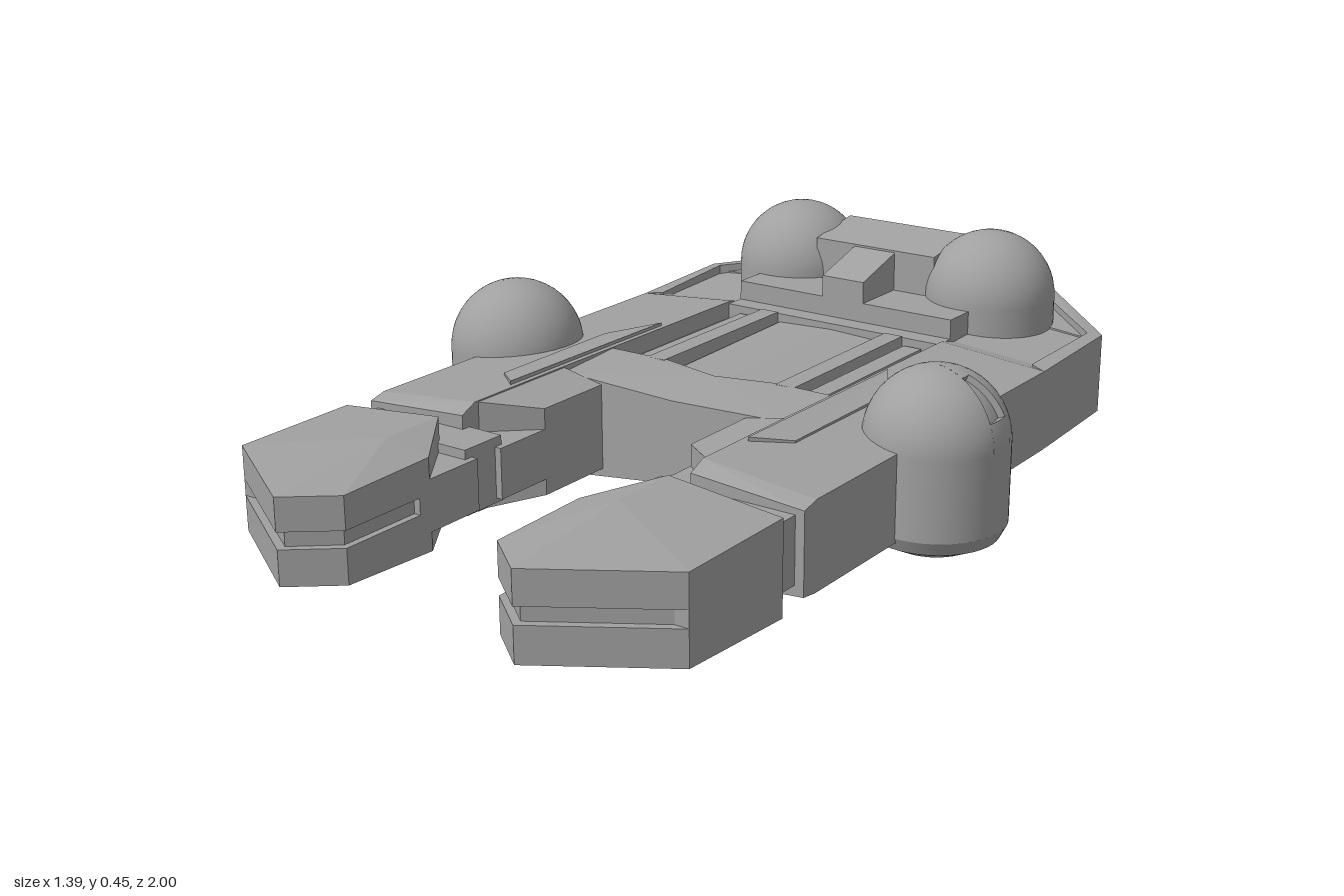
import * as THREE from 'three';

const hullGrey = new THREE.MeshStandardMaterial({ color: 0xa0a0a0, side: THREE.DoubleSide });
hullGrey.name = 'hullGrey';

// Convex flat-shaded slab. Corners are [x, z, bottomY, topY]; faces fan from the first corner.
// pocket > 0 bevels the underside inwards by that depth.
function slabGeometry(corners, pocket = 0) {
  let area = 0;
  const n = corners.length;
  corners.forEach(([x, z], i) => {
    const b = corners[(i + 1) % n];
    area += z * b[0] - x * b[1];
  });
  const c = area > 0 ? corners : [corners[0], ...corners.slice(1).reverse()];
  const low = c.map(p => [p[0], p[2], p[1]]);
  const high = c.map(p => [p[0], p[3], p[1]]);
  const mx = c.reduce((s, p) => s + p[0], 0) / n;
  const mz = c.reduce((s, p) => s + p[1], 0) / n;
  const inner = low.map(([x, y, z]) => pocket
    ? [mx + (x - mx) * 0.78, y + pocket, mz + (z - mz) * 0.85] : [x, y, z]);
  const pos = [];
  const tri = (...ps) => ps.forEach(p => pos.push(...p));
  for (let i = 0; i < n; i++) {
    const j = (i + 1) % n;
    tri(low[i], low[j], high[j]);
    tri(low[i], high[j], high[i]);
    if (pocket) {
      tri(low[j], low[i], inner[i]);
      tri(low[j], inner[i], inner[j]);
    }
    if (i > 0 && j > 0) {
      tri(high[0], high[i], high[j]);
      tri(inner[0], inner[j], inner[i]);
    }
  }
  const g = new THREE.BufferGeometry();
  g.setAttribute('position', new THREE.Float32BufferAttribute(pos, 3));
  g.computeVertexNormals();
  return g;
}

function add(parent, name, geometry) {
  const m = new THREE.Mesh(geometry, hullGrey);
  m.name = name;
  parent.add(m);
  return m;
}
const slab = (parent, name, corners, pocket) => add(parent, name, slabGeometry(corners, pocket));
// Rectangular slab with level top and bottom
const block = (parent, name, x0, x1, z0, z1, y0, y1) =>
  slab(parent, name, [[x0, z0, y0, y1], [x1, z0, y0, y1], [x1, z1, y0, y1], [x0, z1, y0, y1]]);

// Domed pod with a recessed window slot facing the angle "facing"
function domePod(parent, name, x, y, z, bottom, facing) {
  const pod = new THREE.Group();
  pod.name = name;
  pod.position.set(x, y, z);
  parent.add(pod);
  const R = 0.15, half = 0.22, rad = Math.PI / 180;
  const at = (deg, r = R) => new THREE.Vector2(r * Math.sin(deg * rad), r * Math.cos(deg * rad));
  const arc = (from, to, r) => Array.from({ length: 13 }, (_, i) => at(from + (to - from) * i / 12, r));
  const foot = new THREE.Vector2(R, bottom);
  add(pod, 'dome', new THREE.LatheGeometry([foot, ...arc(90, 0)], 44, facing + half, 2 * Math.PI - 2 * half));
  const slice = (label, pts) => add(pod, label, new THREE.LatheGeometry(pts, 4, facing - half, 2 * half));
  slice('domeBelowSlot', [foot, ...arc(90, 66)]);
  slice('domeAboveSlot', arc(24, 0));
  slice('slotFloor', arc(66, 24, R - 0.014));
  slice('slotSill', [at(66), at(66, R - 0.014)]);
  slice('slotHead', [at(24, R - 0.014), at(24)]);
  const wall = new THREE.ShapeGeometry(new THREE.Shape([...arc(66, 24), ...arc(24, 66, R - 0.014)]));
  for (const s of [-1, 1]) add(pod, 'slotSide', wall).rotation.y = facing + s * half - Math.PI / 2;
  return pod;
}

function buildHalf() {
  const h = new THREE.Group();

  // Main hull: middle core and outer flank with a sloping deck
  slab(h, 'hullCore', [[0, -0.77, 0.05, 0.215], [0.285, -0.77, 0.03, 0.215],
    [0.285, 0.15, 0.015, 0.215], [0, 0.15, 0.05, 0.215]]);
  const flank = [ // z, bottom at ridge, bottom at edge, top at ridge, top at edge
    [-0.77, 0.03, 0.06, 0.245, 0.222], [-0.54, 0.025, 0.05, 0.24, 0.218],
    [-0.48, 0.023, 0.048, 0.255, 0.232], [0.15, 0.012, 0.045, 0.258, 0.232],
    [0.44, 0.018, 0.045, 0.258, 0.232], [0.48, 0.028, 0.05, 0.24, 0.222]];
  for (let i = 0; i < flank.length - 1; i++) {
    const [a, b] = [flank[i], flank[i + 1]];
    slab(h, 'flank', [[0.285, a[0], a[1], a[3]], [0.54, a[0], a[2], a[4]],
      [0.54, b[0], b[2], b[4]], [0.285, b[0], b[1], b[3]]]);
  }

  // Deck plates framing the recessed panel and side slot
  slab(h, 'frontDeck', [[0, 0, 0.2, 0.25], [0, 0.15, 0.2, 0.235], [0.285, 0.15, 0.2, 0.245],
    [0.285, -0.02, 0.2, 0.255], [0.145, -0.03, 0.2, 0.252]]);
  block(h, 'panelRib', 0.145, 0.19, -0.47, -0.02, 0.2, 0.253);
  block(h, 'slotStep', 0.2, 0.245, -0.46, -0.03, 0.2, 0.235);
  block(h, 'rearDeck', 0, 0.285, -0.77, -0.47, 0.2, 0.25);
  slab(h, 'recessedPanel', [[0, -0.47, 0.2, 0.236], [0.14, -0.47, 0.2, 0.23],
    [0.14, -0.03, 0.2, 0.222], [0, 0, 0.2, 0.228]]);
  slab(h, 'deckFin', [[0.3, -0.22, 0.22, 0.262], [0.37, -0.1, 0.22, 0.254],
    [0.37, 0.25, 0.22, 0.254], [0.3, 0.31, 0.22, 0.265]]);

  // Layered tail with a groove around it and a rim above
  slab(h, 'tailLower', [[0, -0.77, 0.045, 0.15], [0, -1, 0.06, 0.15],
    [0.285, -1, 0.06, 0.15], [0.54, -0.77, 0.06, 0.15]]);
  slab(h, 'tailGroove', [[0, -0.77, 0.14, 0.2], [0, -0.97, 0.14, 0.2],
    [0.272, -0.97, 0.14, 0.2], [0.5, -0.765, 0.14, 0.2]]);
  slab(h, 'tailUpper', [[0.285, -0.77, 0.188, 0.25], [0.54, -0.77, 0.188, 0.225],
    [0.285, -1, 0.188, 0.255], [0, -1, 0.188, 0.255], [0, -0.77, 0.188, 0.25]]);
  block(h, 'tailPost', 0, 0.04, -1, -0.96, 0.14, 0.2);
  block(h, 'tailPost', 0.25, 0.285, -1, -0.96, 0.14, 0.2);
  slab(h, 'tailRim', [[0, -1, 0.2, 0.272], [0.285, -1, 0.2, 0.272], [0.29, -0.95, 0.2, 0.268], [0, -0.95, 0.2, 0.268]]);
  slab(h, 'cornerRim', [[0.285, -1, 0.2, 0.272], [0.54, -0.77, 0.2, 0.242], [0.51, -0.755, 0.2, 0.246], [0.29, -0.95, 0.2, 0.268]]);
  slab(h, 'sideRim', [[0.51, -0.755, 0.2, 0.246], [0.54, -0.77, 0.2, 0.242], [0.54, -0.48, 0.2, 0.232], [0.5, -0.5, 0.2, 0.236]]);

  // Forward arm: inner side with its corner cut away above and below
  block(h, 'armCore', 0.185, 0.285, 0.15, 0.48, 0.08, 0.19);
  slab(h, 'armInner', [[0.285, 0.15, 0.015, 0.255], [0.185, 0.15, 0.045, 0.235],
    [0.185, 0.34, 0.045, 0.235], [0.285, 0.43, 0.02, 0.255]]);
  block(h, 'armNeck', 0.2, 0.52, 0.46, 0.57, 0.07, 0.21);

  // Arm tip: upper and lower shells around a narrow groove
  slab(h, 'tipUpperOuter', [[0.285, 0.7, 0.16, 0.258], [0.285, 1, 0.16, 0.23],
    [0.54, 0.84, 0.16, 0.23], [0.54, 0.55, 0.16, 0.232], [0.285, 0.55, 0.16, 0.258]]);
  slab(h, 'tipUpperInner', [[0.285, 0.7, 0.16, 0.258], [0.285, 0.55, 0.16, 0.258],
    [0.185, 0.69, 0.16, 0.235], [0.185, 0.92, 0.16, 0.23], [0.285, 1, 0.16, 0.23]]);
  slab(h, 'tipGroove', [[0.285, 0.98, 0.08, 0.18], [0.525, 0.83, 0.08, 0.18],
    [0.525, 0.56, 0.08, 0.18], [0.2, 0.56, 0.08, 0.18], [0.2, 0.91, 0.08, 0.18]]);
  block(h, 'tipFlank', 0.3, 0.54, 0.55, 0.84, 0.09, 0.18);
  block(h, 'tipInnerCorner', 0.185, 0.3, 0.55, 0.72, 0.08, 0.19);
  slab(h, 'tipLower', [[0.285, 1, 0.05, 0.125], [0.54, 0.84, 0.05, 0.125], [0.54, 0.55, 0.035, 0.125],
    [0.285, 0.55, 0.03, 0.125], [0.185, 0.69, 0.04, 0.125], [0.185, 0.92, 0.05, 0.125]], 0.02);

  // Bulkhead, sloping column and bridge between the rear domes
  block(h, 'bulkhead', 0, 0.285, -0.68, -0.52, 0.24, 0.295);
  slab(h, 'column', [[0, -0.67, 0.28, 0.388], [0.055, -0.67, 0.28, 0.388],
    [0.055, -0.52, 0.28, 0.345], [0, -0.52, 0.28, 0.345]]);
  slab(h, 'bridgeFront', [[0, -0.81, 0.24, 0.415], [0.16, -0.81, 0.24, 0.415],
    [0.16, -0.66, 0.24, 0.39], [0, -0.66, 0.24, 0.39]]);
  slab(h, 'bridgeBack', [[0, -0.875, 0.24, 0.37], [0.17, -0.875, 0.24, 0.37],
    [0.16, -0.81, 0.24, 0.415], [0, -0.81, 0.24, 0.415]]);

  // Domes
  domePod(h, 'rearDome', 0.26, 0.3, -0.75, -0.08, Math.PI * 5 / 6);
  const side = domePod(h, 'sidePod', 0.543, 0.225, 0, -0.17, Math.PI / 2);
  add(side, 'podShoulder', new THREE.CylinderGeometry(0.15, 0.135, 0.03, 44)).position.y = -0.185;
  add(side, 'podFoot', new THREE.CylinderGeometry(0.135, 0.085, 0.025, 44)).position.y = -0.2125;
  return h;
}

export function createModel() {
  const model = new THREE.Group();
  model.name = 'spacecraft';
  const left = buildHalf();
  left.name = 'leftHalf';
  const right = buildHalf();
  right.name = 'rightHalf';
  right.scale.x = -1;
  model.add(left, right);
  return model;
}
